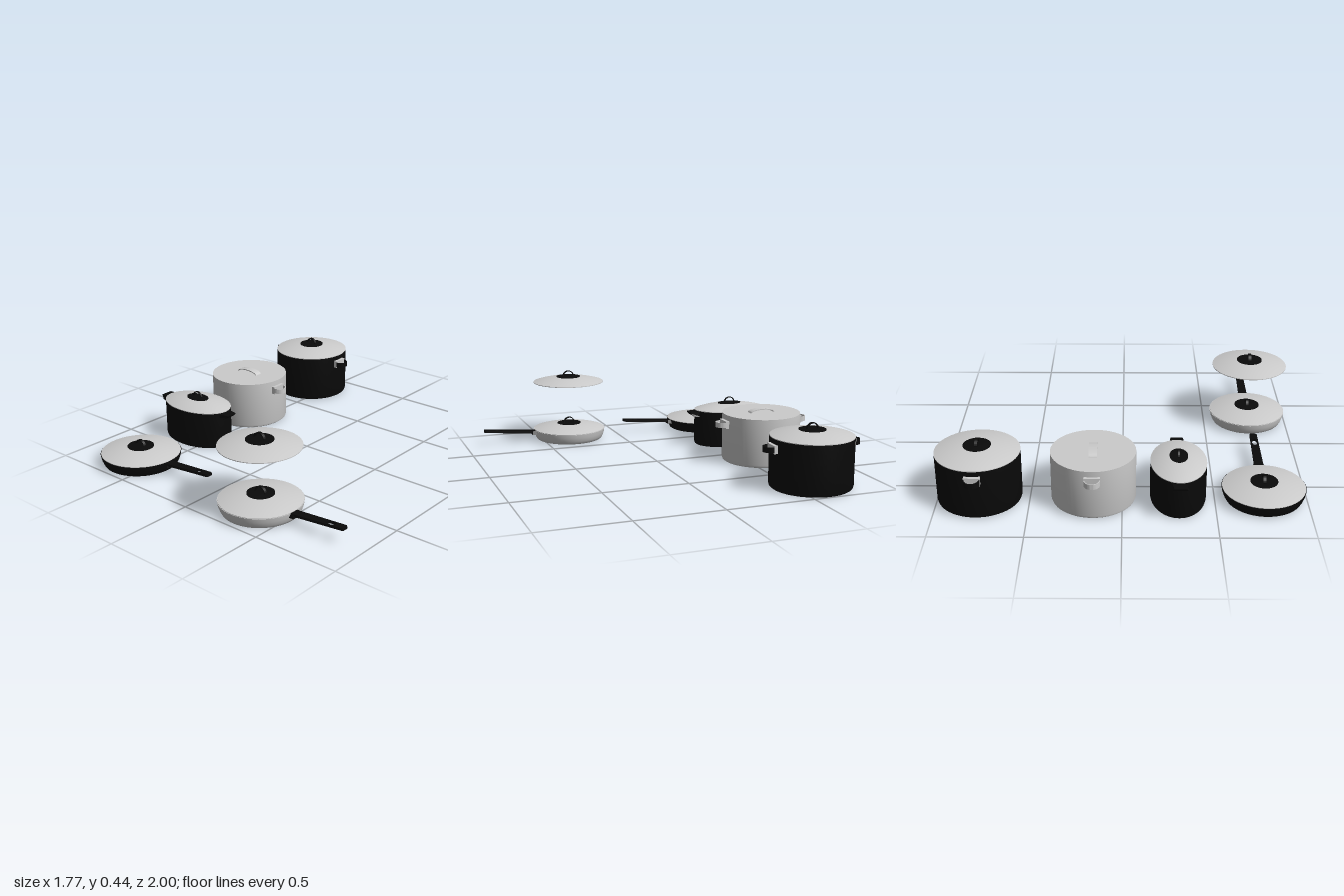
import * as THREE from 'three';
import { toCreasedNormals } from 'three/addons/utils/BufferGeometryUtils.js';

const steel = new THREE.MeshStandardMaterial({ color: 0xcccccc, side: THREE.DoubleSide });
const black = new THREE.MeshStandardMaterial({ color: 0x0a0a0a, side: THREE.DoubleSide });
const R = 0.23;

function add(parent, name, geometry, material) {
  const mesh = new THREE.Mesh(toCreasedNormals(geometry, 0.6), material);
  mesh.name = name;
  parent.add(mesh);
  return mesh;
}

function lathe(points) {
  return new THREE.LatheGeometry(points.map(([x, y]) => new THREE.Vector2(x, y)), 64);
}

// Shallow dome profile from radius r at height y up to the axis
function dome(r, y, rise, curveR = r) {
  const pts = [];
  for (let i = 0; i <= 10; i++) {
    const x = r * (1 - i / 10);
    pts.push([x, y + rise * (1 - (x / curveR) ** 2)]);
  }
  return pts;
}

// Half-ring band standing in the xy plane, centred in z
function arch(rx, ry, thickness, width) {
  const shape = new THREE.Shape();
  shape.absellipse(0, 0, rx, ry, 0, Math.PI, false, 0);
  shape.lineTo(-rx + thickness, 0);
  shape.absellipse(0, 0, rx - thickness, ry - thickness, Math.PI, 0, true, 0);
  shape.closePath();
  return new THREE.ExtrudeGeometry(shape, { depth: width, bevelEnabled: false, curveSegments: 24 })
    .translate(0, 0, -width / 2);
}

// Domed lid with a black pad and an arched grip
function domedLid(r = R, rise = 0.033) {
  const lid = new THREE.Group();
  lid.name = 'lid';
  add(lid, 'lidDome', lathe([[0, 0], [r, 0], ...dome(r, 0.004, rise)]), steel);
  add(lid, 'gripPad', lathe([[0.075, 0.03], ...dome(0.075, 0.007, rise, r)]), black);
  add(lid, 'gripLoop', arch(0.036, 0.037, 0.005, 0.016), black).position.y = rise + 0.002;
  return lid;
}

// Straight-sided hollow pot
function potBody(height) {
  return lathe([[0, 0], [0.218, 0], [0.226, 0.006], [R, 0.018], [R, height],
    [R - 0.008, height], [R - 0.008, 0.012], [0, 0.01]]);
}

// Side handles: steel bracket plates with a half-ring band
function loopHandles(pot, material) {
  for (const side of [1, -1]) {
    const handle = new THREE.Group();
    handle.name = side > 0 ? 'leftHandle' : 'rightHandle';
    handle.rotation.y = side > 0 ? 0 : Math.PI;
    add(handle, 'bracket', new THREE.BoxGeometry(0.025, 0.045, 0.086), steel).position.set(0.235, 0.232, 0);
    const loop = arch(0.043, 0.047, 0.005, 0.03).rotateZ(-Math.PI / 2).rotateX(Math.PI / 2);
    add(handle, 'handleLoop', loop, material).position.set(0.244, 0.231, 0);
    pot.add(handle);
  }
}

// Solid tapered tabs for the oval pot
function tabHandles(pot) {
  for (const side of [1, -1]) {
    const shape = new THREE.Shape([[0.2, 0.183], [0.255, 0.19], [0.275, 0.208], [0.275, 0.215], [0.2, 0.215]]
      .map(([x, y]) => new THREE.Vector2(x, y)));
    const geo = new THREE.ExtrudeGeometry(shape, { depth: 0.09, bevelEnabled: false }).translate(0, 0, -0.045);
    const p = geo.attributes.position;
    for (let i = 0; i < p.count; i++) {
      if (p.getX(i) > 0.26) p.setZ(i, p.getZ(i) * 0.75);
    }
    const tab = add(pot, side > 0 ? 'leftTab' : 'rightTab', geo, black);
    tab.rotation.y = side > 0 ? 0 : Math.PI;
  }
}

// Pan with curved wall, long handle and lid
function pan(material) {
  const group = new THREE.Group();
  add(group, 'panBody', lathe([[0, 0], [0.2, 0], [0.209, 0.005], [0.217, 0.02], [0.225, 0.042], [0.229, 0.065],
    [0.222, 0.065], [0.21, 0.02], [0.195, 0.01], [0, 0.01]]), material);

  // Long flat handle with a hanging hole, rising outwards
  const s = new THREE.Shape();
  s.moveTo(0, -0.026);
  s.lineTo(0.31, -0.021);
  s.quadraticCurveTo(0.323, -0.02, 0.323, -0.01);
  s.lineTo(0.323, 0.01);
  s.quadraticCurveTo(0.323, 0.02, 0.31, 0.021);
  s.lineTo(0, 0.026);
  s.closePath();
  const hole = new THREE.Path();
  hole.absellipse(0.235, 0, 0.03, 0.016, 0, Math.PI * 2, true, 0);
  s.holes.push(hole);
  const bar = new THREE.ExtrudeGeometry(s, { depth: 0.014, bevelEnabled: false, curveSegments: 16 })
    .rotateX(Math.PI / 2).rotateZ(0.085);
  add(group, 'panHandle', bar, black).position.set(0.232, 0.064, 0);

  // Flared mount where the handle meets the wall
  const mount = new THREE.CylinderGeometry(0.026, 0.036, 0.022, 4, 1).rotateY(Math.PI / 4);
  mount.scale(0.6, 1, 1.41);
  add(group, 'handleMount', mount, black).position.set(0.236, 0.054, 0);

  const lid = domedLid(0.226);
  lid.position.y = 0.064;
  group.add(lid);
  return group;
}

export function createModel() {
  const model = new THREE.Group();
  model.name = 'cookwareSet';
  const place = (group, name, x, y, z) => {
    group.name = name;
    group.position.set(x, y, z);
    model.add(group);
  };

  // Black stock pot
  const stockPot = new THREE.Group();
  add(stockPot, 'potBody', potBody(0.282), black);
  loopHandles(stockPot, black);
  const stockLid = domedLid();
  stockLid.position.y = 0.282;
  stockPot.add(stockLid);
  place(stockPot, 'stockPot', -0.6, 0, -0.773);

  // Steel pot with a flat lid and strap grip
  const steelPot = new THREE.Group();
  add(steelPot, 'potBody', potBody(0.28), steel);
  loopHandles(steelPot, steel);
  add(steelPot, 'flatLid', new THREE.CylinderGeometry(R, R, 0.006, 64), steel).position.y = 0.283;
  add(steelPot, 'strapGrip', arch(0.077, 0.023, 0.006, 0.045), steel).position.y = 0.285;
  place(steelPot, 'steelPot', -0.6, 0, -0.155);

  // Black oval pot
  const ovalPot = new THREE.Group();
  const oval = new THREE.Group();
  oval.name = 'ovalVessel';
  oval.scale.z = 0.66;
  add(oval, 'potBody', potBody(0.22), black);
  const ovalLid = domedLid();
  ovalLid.position.y = 0.22;
  oval.add(ovalLid);
  ovalPot.add(oval);
  tabHandles(ovalPot);
  place(ovalPot, 'ovalPot', -0.6, 0, 0.302);

  // Two pans and a spare lid hanging above the steel one
  place(pan(black), 'blackPan', -0.6, 0, 0.767);
  place(pan(steel), 'steelPan', 0.325, 0, 0.767);
  place(domedLid(0.222), 'spareLid', 0.325, 0.368, 0.767);

  return model;
}
